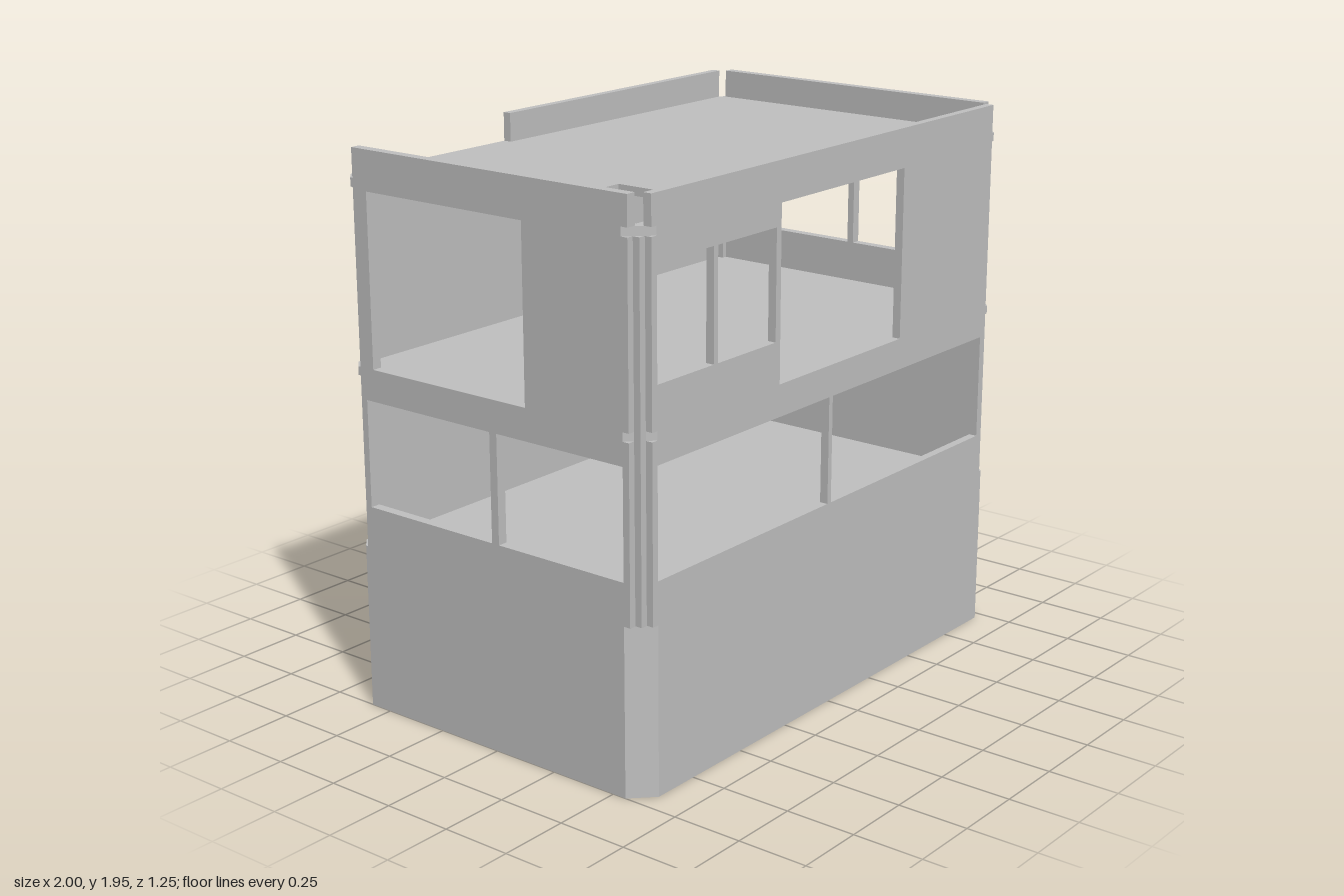
import * as THREE from 'three';

const X = 1, Z = 0.625;               // half width and half depth
const BASE = 0.585, TOP = 1.947;      // plinth top and parapet top
const SLABS = [[1.185, 1.215], [1.817, 1.847]];

const grey = new THREE.MeshStandardMaterial({ color: 0xc0c0c0 });
grey.name = 'plain grey';

function rectPath(x0, x1, y0, y1) {
  return new THREE.Path([[x0, y0], [x1, y0], [x1, y1], [x0, y1]].map(p => new THREE.Vector2(...p)));
}

function extrude(points, holes, depth) {
  const shape = new THREE.Shape(points.map(p => new THREE.Vector2(...p)));
  holes.forEach(h => shape.holes.push(rectPath(...h)));
  return new THREE.ExtrudeGeometry(shape, { depth, bevelEnabled: false });
}

// Chamfered footprint plate: large cuts front-right/back-left diagonal, small on the other two
function plate(y0, y1, holes) {
  const a = 0.075, b = 0.04;
  const outline = [
    [-X, -Z + a], [-X + a, -Z], [X - b, -Z], [X, -Z + b],
    [X, Z - a], [X - a, Z], [-X + b, Z], [-X, Z - b],
  ];
  return extrude(outline, holes, y1 - y0).rotateX(-Math.PI / 2).translate(0, y0, 0);
}

// Wall outline from the plinth up, notched at slab level on one end; optional lowered parapet left of stepAt
function wallOutline(half, notchSide, stepAt) {
  const end = side => {
    const pts = [[side * half, BASE]];
    if (side === notchSide) {
      for (const [y0, y1] of SLABS) {
        const inner = side * (half - 0.025);
        pts.push([side * half, y0], [inner, y0], [inner, y1], [side * half, y1]);
      }
    }
    return pts;
  };
  const right = [...end(1), [half, TOP]];
  const left = [...end(-1)].reverse();
  const low = SLABS[1][1];
  const top = stepAt === undefined ? [[-half, TOP]] : [[stepAt, TOP], [stepAt, low], [-half, low]];
  return [...right, ...top, ...left];
}

export function createModel() {
  const group = new THREE.Group();
  const add = (name, geometry) => {
    const mesh = new THREE.Mesh(geometry, grey);
    mesh.name = name;
    group.add(mesh);
  };

  // Plinth, upper floor and roof with the stair openings
  const stairHole = [-0.94, -0.54, -0.56, -0.155];
  add('plinth', plate(0, BASE, []));
  add('upperFloor', plate(...SLABS[0], [stairHole]));
  add('roof', plate(...SLABS[1], [stairHole]));

  // Front and back walls
  const frontOpenings = [
    [-0.925, -0.65, 1.36, 1.735], [-0.63, -0.33, 1.36, 1.735],
    [-0.305, 0.39, 1.215, 1.81],
    [-0.925, -0.025, 0.73, 1.105], [-0.005, 0.92, 0.73, 1.105],
  ];
  add('frontWall', extrude(wallOutline(0.95, -1), frontOpenings, 0.03).translate(0, 0, Z - 0.03));
  add('backWall', extrude(wallOutline(0.95, 1, -0.23), [], 0.03).translate(0, 0, -Z));

  // Side walls, drawn along z
  const side = (notch, openings, x) =>
    extrude(wallOutline(0.575, notch), openings, 0.035).rotateY(-Math.PI / 2).translate(x, 0, 0);
  add('leftWall', side(-1, [[0.03, 0.55, 1.36, 1.74], [-0.55, 0.005, 1.36, 1.74]], X));
  add('rightWall', side(1, [
    [-0.515, 0.155, 1.215, 1.81],
    [0.03, 0.55, 0.73, 1.105], [-0.55, 0.0, 0.73, 1.105],
  ], -X + 0.035));

  // Recessed corner posts between the wall ends
  const postHeight = SLABS[1][0] - BASE;
  for (const sx of [-1, 1]) for (const sz of [-1, 1]) {
    add('cornerPost', new THREE.BoxGeometry(0.03, postHeight, 0.03)
      .translate(sx * 0.96, BASE + postHeight / 2, sz * 0.585));
  }

  // Low box in the back corner of the lower storey
  add('cornerBox', new THREE.BoxGeometry(0.15, 0.3, 0.15).translate(0.89, BASE + 0.15, -0.52));

  return group;
}
